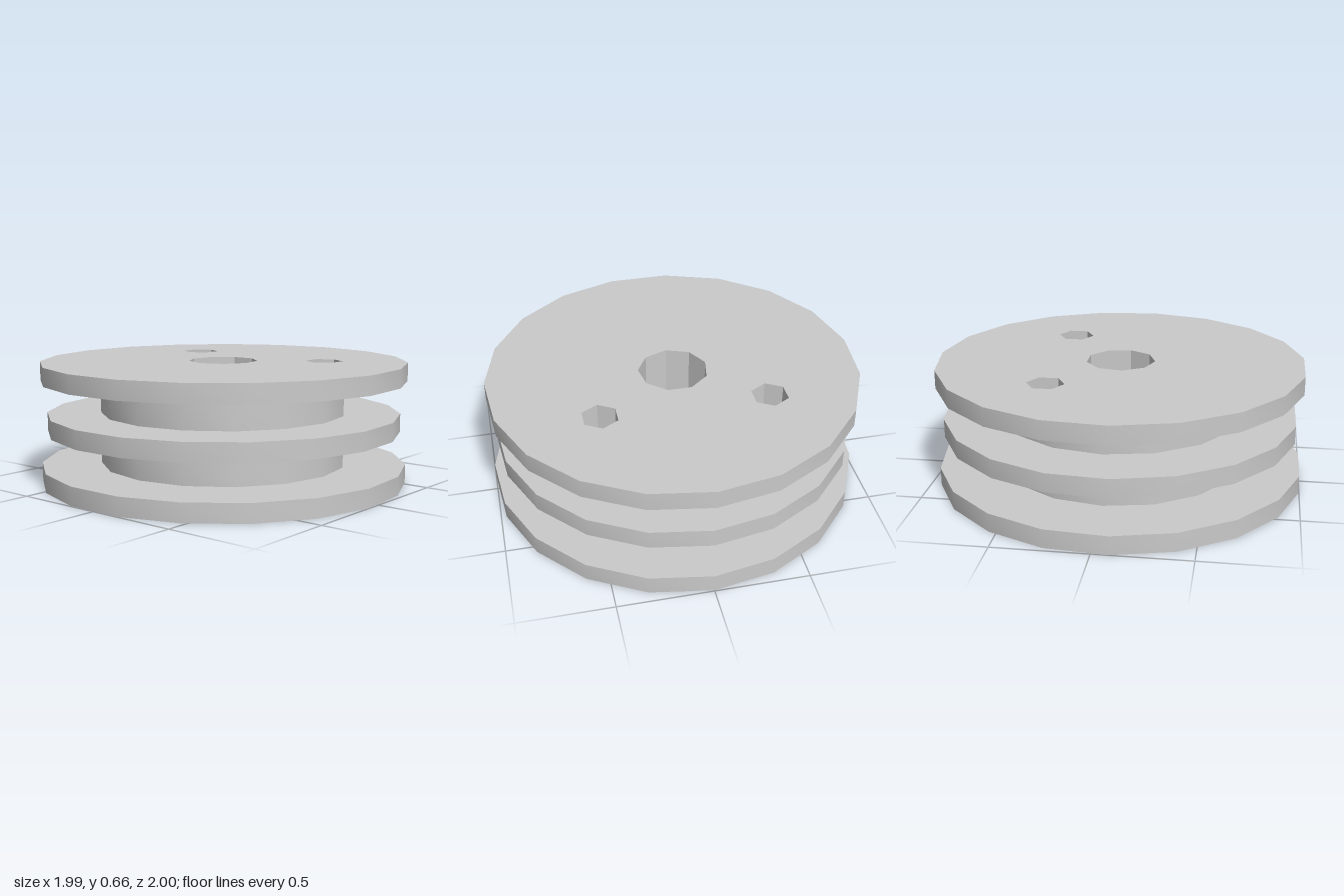
import * as THREE from 'three';
import { toCreasedNormals } from 'three/addons/utils/BufferGeometryUtils.js';

// Regular polygon in the ground plane, counter-clockwise, first corner at angle `start`
function polygon(cx, cz, radius, sides, start = 0) {
  const points = [];
  for (let i = 0; i < sides; i++) {
    const a = start + (i / sides) * Math.PI * 2;
    points.push(new THREE.Vector2(cx + radius * Math.cos(a), -cz + radius * Math.sin(a)));
  }
  return points;
}

export function createModel() {
  const group = new THREE.Group();
  group.name = 'groovedPulley';

  const grey = new THREE.MeshStandardMaterial({ color: 0xcacaca });
  grey.name = 'grey';

  const axis = -0.007;
  const bore = polygon(axis, -0.002, 0.188, 9, Math.PI);

  // Pair of blind holes in the top, and a wider opposed pair underneath
  const topHoles = [-0.448, 0.445].map((z) => polygon(0.318, z, 0.1, 6));
  const bottomHoles = [-1, 1].map((s) => polygon(axis + s * 0.534, 0, 0.128, 6, Math.PI / 2));

  // One slab of the pulley, pierced by the bore and any further holes
  function addDisc(name, radius, sides, y, height, holes) {
    const shape = new THREE.Shape(polygon(axis, 0, radius, sides));
    for (const hole of [bore, ...holes]) shape.holes.push(new THREE.Path(hole));
    const geometry = new THREE.ExtrudeGeometry(shape, { depth: height, bevelEnabled: false });
    geometry.rotateX(-Math.PI / 2);
    geometry.translate(0, y, 0);
    // Rounded rims shade smoothly; bore and hole corners stay sharp
    const mesh = new THREE.Mesh(toCreasedNormals(geometry, Math.PI / 6), grey);
    mesh.name = name;
    group.add(mesh);
  }

  addDisc('bottomFlange', 1.002, 19, 0, 0.1, bottomHoles);
  addDisc('lowerHub', 0.673, 16, 0.1, 0.18, bottomHoles);
  addDisc('middleFlange', 0.968, 19, 0.28, 0.1, []);
  addDisc('upperHub', 0.673, 16, 0.38, 0.18, topHoles);
  addDisc('topFlange', 1.002, 19, 0.56, 0.1, topHoles);

  return group;
}
